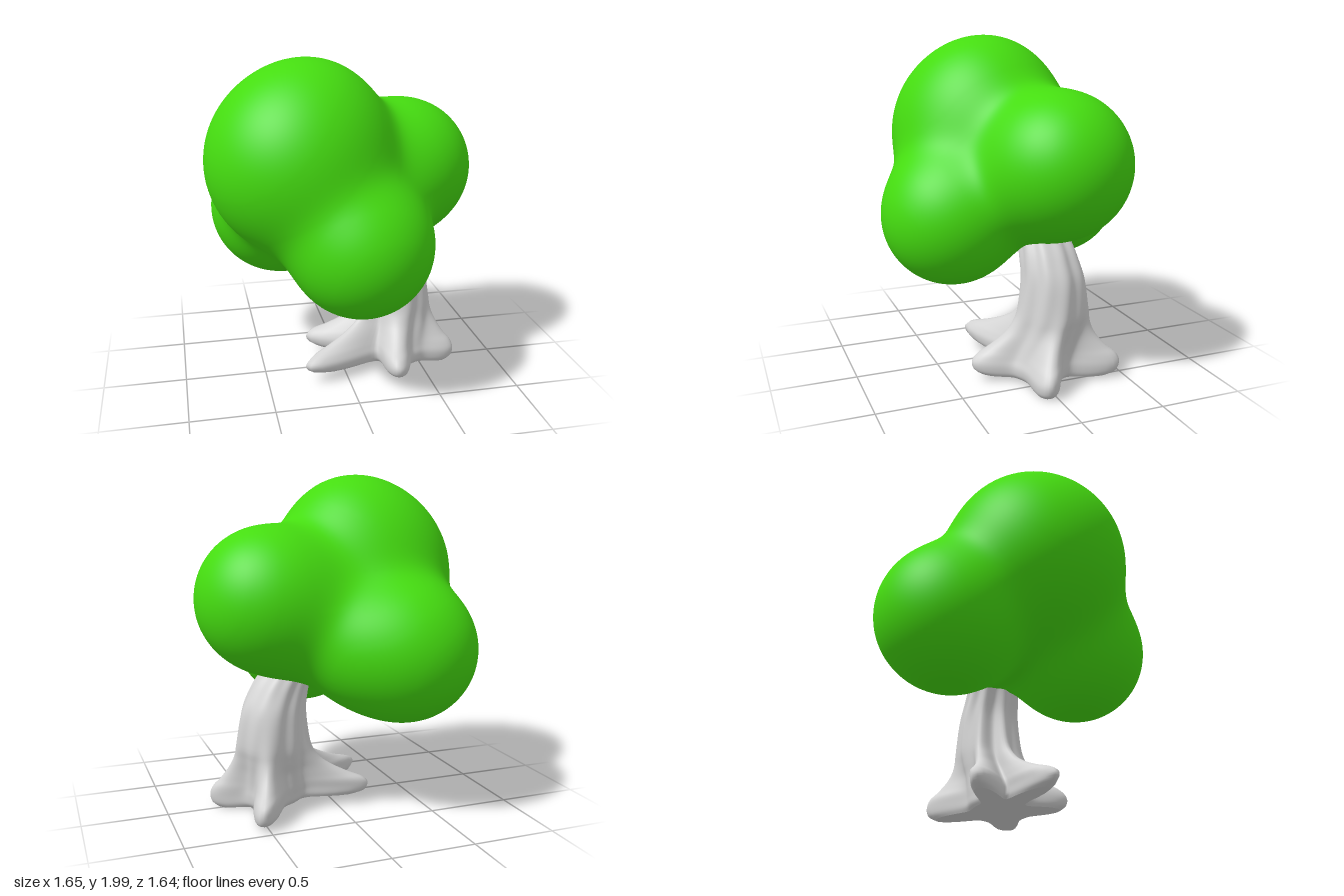
import * as THREE from 'three';
import { mergeVertices } from 'three/addons/utils/BufferGeometryUtils.js';

const leafGreen = new THREE.MeshStandardMaterial({ color: 0x45dd10 });
const barkGrey = new THREE.MeshStandardMaterial({ color: 0xd4d4d4 });

// Foliage: balls melted together, centre x y z and radius
const BALLS = [
  [-0.285, 1.4, 0.11, 0.54], // main
  [-0.2, 1.6, 0.09, 0.34], // crown
  [0.41, 1.285, -0.13, 0.415], // left side
  [0.2, 1.2, -0.12, 0.35], // left neck
  [0.03, 0.955, 0.4, 0.415], // front
  [-0.35, 0.985, -0.4, 0.42], // back
  [-0.1, 1.0, -0.36, 0.31], // back neck
];
const BLEND = 0.08;

// Smooth union distance of the balls
function foliageDistance(p) {
  let sum = 0;
  for (const [x, y, z, r] of BALLS) {
    sum += Math.exp(-(Math.hypot(p.x - x, p.y - y, p.z - z) - r) / BLEND);
  }
  return -BLEND * Math.log(sum);
}

// Push each vertex of a fine sphere out to the blended surface
function foliageGeometry() {
  const ico = new THREE.IcosahedronGeometry(1, 40);
  ico.deleteAttribute('uv');
  ico.deleteAttribute('normal');
  const geo = mergeVertices(ico, 1e-5);
  const pos = geo.attributes.position;
  const core = new THREE.Vector3(-0.08, 1.16, 0);
  const dir = new THREE.Vector3();
  const p = new THREE.Vector3();
  for (let i = 0; i < pos.count; i++) {
    dir.fromBufferAttribute(pos, i).normalize();
    let t = 1.6;
    for (let s = 0; s < 90; s++) {
      const d = foliageDistance(p.copy(core).addScaledVector(dir, t));
      if (d < 0.0005) break;
      t -= d * 0.9;
    }
    pos.setXYZ(i, p.x, p.y, p.z);
  }
  geo.computeVertexNormals();
  return geo;
}

// Trunk levels: height, centre x, centre z, core radius, root spread
const LEVELS = [
  [0.0, 0.35, -0.03, 0.18, 0.8],
  [0.03, 0.35, -0.03, 0.2, 0.95],
  [0.08, 0.35, -0.03, 0.205, 1.0],
  [0.13, 0.35, -0.04, 0.2, 0.9],
  [0.18, 0.355, -0.05, 0.195, 0.66],
  [0.25, 0.365, -0.065, 0.19, 0.4],
  [0.33, 0.375, -0.085, 0.19, 0.2],
  [0.42, 0.385, -0.1, 0.19, 0.1],
  [0.6, 0.38, -0.105, 0.175, 0.06],
  [0.72, 0.345, -0.095, 0.16, 0.05],
  [0.83, 0.285, -0.085, 0.145, 0.04],
  [1.0, 0.15, -0.06, 0.12, 0.02],
];

// Roots: tip x and z
const ROOTS = [[0.55, -0.47], [-0.2, -0.22], [-0.27, 0.22], [0.28, 0.37], [0.73, 0.06]].map(([x, z]) => ({
  angle: Math.atan2(z + 0.03, x - 0.35),
  reach: Math.hypot(x - 0.35, z + 0.03),
}));

// Smooth value between levels
function levelAt(t) {
  const i = Math.min(Math.floor(t), LEVELS.length - 2);
  const at = (k) => LEVELS[Math.max(0, Math.min(LEVELS.length - 1, k))];
  const f = t - i;
  return LEVELS[0].map((_, c) => {
    const [a, b, d, e] = [at(i - 1)[c], at(i)[c], at(i + 1)[c], at(i + 2)[c]];
    return b + 0.5 * f * (d - a + f * (2 * a - 5 * b + 4 * d - e + f * (3 * (b - d) + e - a)));
  });
}

// Rings of a leaning trunk whose outline swells into the roots
function trunkGeometry() {
  const around = 120;
  const rows = 44;
  const points = [];
  const faces = [];
  for (let j = 0; j <= rows; j++) {
    const [y, cx, cz, core, spread] = levelAt((j / rows) * (LEVELS.length - 1));
    for (let i = 0; i < around; i++) {
      const a = (i / around) * Math.PI * 2;
      let r = core;
      for (const root of ROOTS) {
        const d = Math.atan2(Math.sin(a - root.angle), Math.cos(a - root.angle));
        const width = 0.11 / root.reach + 0.04;
        r += (root.reach - core) * spread * Math.exp(-((d / width) ** 2));
      }
      // Shallow bark furrows that twist upwards
      r += 0.006 * Math.sin(a * 9 + y * 4) * Math.min(1, y * 4);
      const x = cx + r * Math.cos(a);
      const low = Math.max(0, 1 - y / 0.3);
      const lift = 0.06 * Math.min(1, Math.max(0, (0.65 - x) / 0.5)) * low;
      points.push(x, Math.max(0, y) + lift, cz + r * Math.sin(a));
    }
  }
  for (let j = 0; j < rows; j++) {
    for (let i = 0; i < around; i++) {
      const a = j * around + i;
      const b = j * around + ((i + 1) % around);
      faces.push(a, a + around, b, b, a + around, b + around);
    }
  }
  // Underside, with its own rim so the lower edge stays sharp
  const rim = points.length / 3;
  points.push(...points.slice(0, around * 3));
  const middle = points.length / 3;
  points.push(0.35, 0.04, -0.03);
  for (let i = 0; i < around; i++) faces.push(middle, rim + i, rim + ((i + 1) % around));

  const geo = new THREE.BufferGeometry();
  geo.setAttribute('position', new THREE.Float32BufferAttribute(points, 3));
  geo.setIndex(faces);
  geo.computeVertexNormals();
  return geo;
}

export function createModel() {
  const tree = new THREE.Group();
  tree.name = 'tree';
  const foliage = new THREE.Mesh(foliageGeometry(), leafGreen);
  foliage.name = 'foliage';
  const trunk = new THREE.Mesh(trunkGeometry(), barkGrey);
  trunk.name = 'trunk';
  tree.add(foliage, trunk);
  return tree;
}
